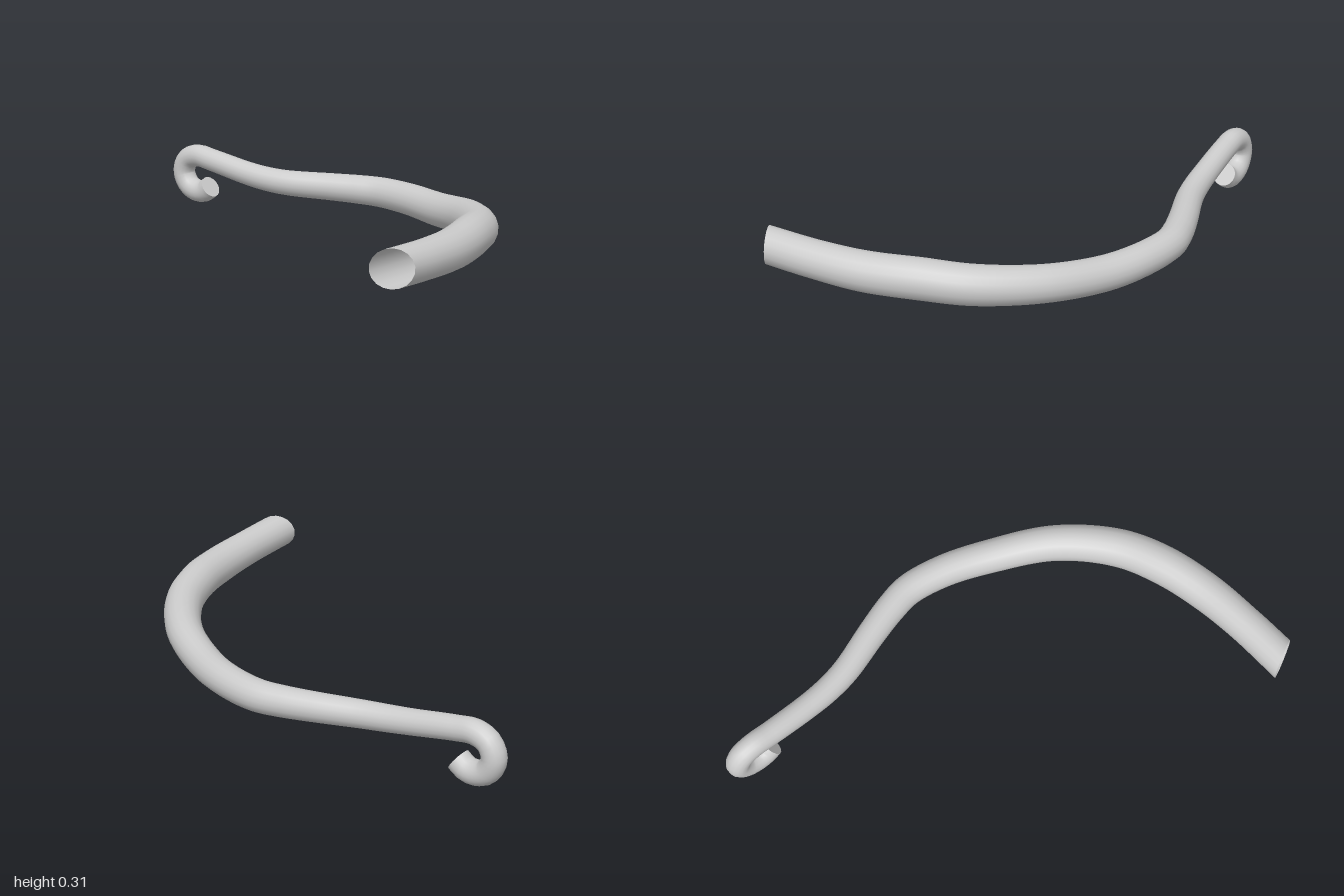
import * as THREE from 'three';

// Centreline stations: x, y, z, tube radius
const STATIONS = [
  [-0.60, 0.240, 0.928, 0.071],
  [-0.40, 0.228, 0.915, 0.072],
  [-0.20, 0.219, 0.888, 0.076],
  [0.00, 0.216, 0.830, 0.078],
  [0.17, 0.199, 0.745, 0.076],
  [0.35, 0.174, 0.570, 0.071],
  [0.475, 0.147, 0.340, 0.067],
  [0.54, 0.145, 0.160, 0.064],
  [0.563, 0.145, 0.000, 0.062],
  [0.545, 0.145, -0.100, 0.060],
  [0.508, 0.145, -0.220, 0.057],
  [0.445, 0.146, -0.400, 0.053],
  [0.424, 0.152, -0.500, 0.051],
  [0.413, 0.164, -0.600, 0.049],
  [0.403, 0.195, -0.790, 0.047],
  // curled hook
  [0.402, 0.204, -0.870, 0.047],
  [0.402, 0.181, -0.929, 0.047],
  [0.402, 0.125, -0.953, 0.047],
  [0.402, 0.069, -0.925, 0.047],
  [0.402, 0.048, -0.875, 0.047],
  [0.402, 0.053, -0.833, 0.047],
  [0.402, 0.076, -0.800, 0.047],
];

const SEGMENTS = 140;
const SIDES = 18;

export function createModel() {
  const group = new THREE.Group();
  const material = new THREE.MeshStandardMaterial({ color: 0xcccccc, side: THREE.DoubleSide });
  const curve = new THREE.CatmullRomCurve3(STATIONS.map(([x, y, z]) => new THREE.Vector3(x, y, z)));

  const radiusAt = (u) => {
    const s = curve.getUtoTmapping(u) * (STATIONS.length - 1);
    const i = Math.min(Math.floor(s), STATIONS.length - 2);
    return THREE.MathUtils.lerp(STATIONS[i][3], STATIONS[i + 1][3], s - i);
  };

  // Tapered tube: scale every ring, and slant the open end
  const geometry = new THREE.TubeGeometry(curve, SEGMENTS, 1, SIDES, false);
  const pos = geometry.attributes.position;
  const p = new THREE.Vector3();
  for (let i = 0; i <= SEGMENTS; i++) {
    const u = i / SEGMENTS;
    const centre = curve.getPointAt(u);
    const radius = radiusAt(u);
    const slant = 0.45 * Math.max(0, 1 - u / 0.08);
    for (let j = 0; j <= SIDES; j++) {
      const k = i * (SIDES + 1) + j;
      p.fromBufferAttribute(pos, k).sub(centre).multiplyScalar(radius);
      p.x += slant * p.z;
      p.add(centre);
      pos.setXYZ(k, p.x, p.y, p.z);
    }
  }
  const tube = new THREE.Mesh(geometry, material);
  tube.name = 'curvedTube';
  group.add(tube);

  // Flat cap closing the hook
  const cap = new THREE.Mesh(new THREE.CircleGeometry(radiusAt(1), SIDES), material);
  cap.name = 'hookEndCap';
  cap.position.copy(curve.getPointAt(1));
  cap.lookAt(cap.position.clone().add(curve.getTangentAt(1)));
  group.add(cap);

  return group;
}
